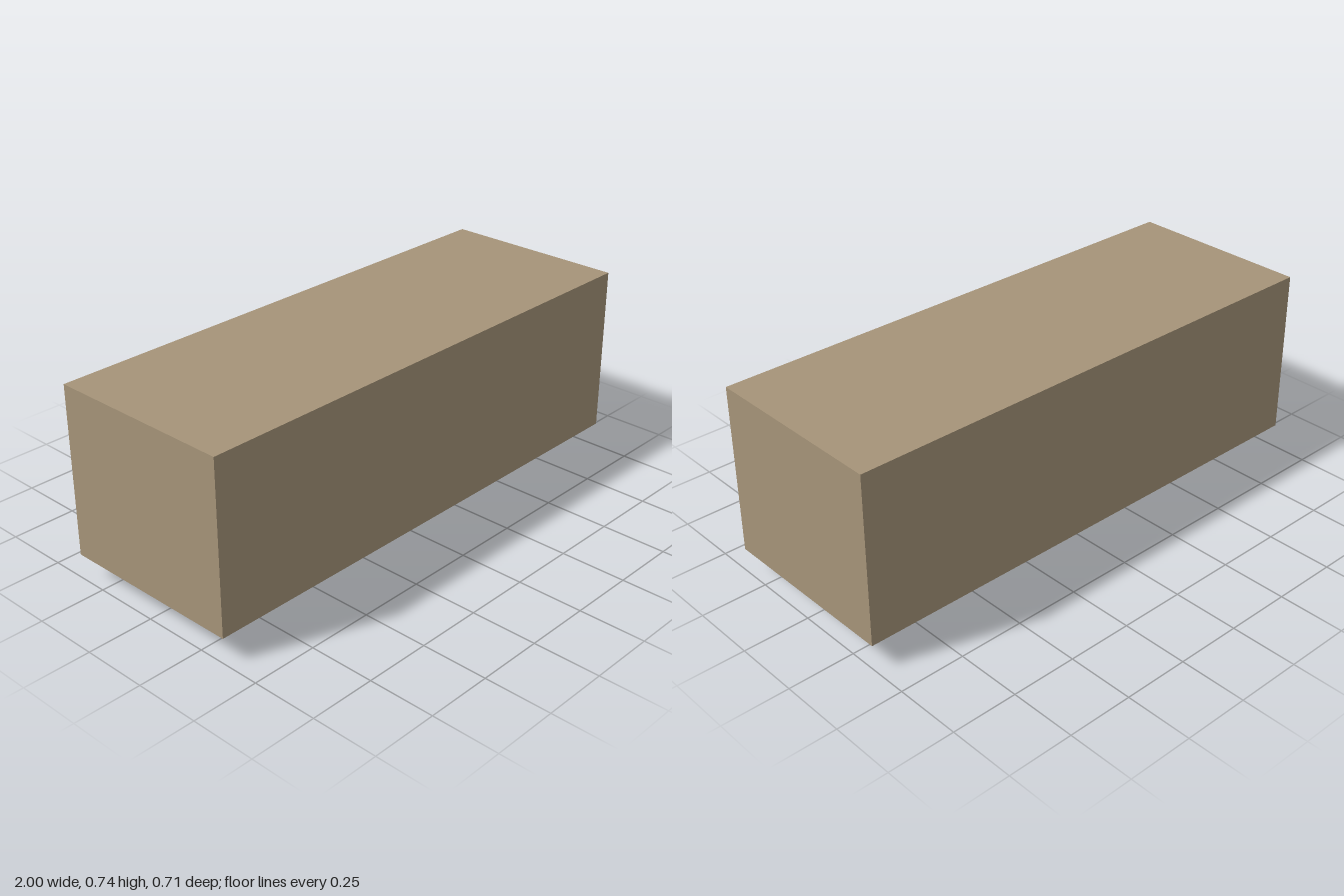
import * as THREE from 'three';

export function createModel() {
  const model = new THREE.Group();
  model.name = 'ceilingBlock';

  const material = (name, color) => {
    const m = new THREE.MeshStandardMaterial({ color });
    m.name = name;
    return m;
  };
  const tan = material('tan', 0xa69479);
  const brass = material('brass', 0xb5a16b);
  const grey = material('lightGrey', 0xb8b6b0);

  // Box given by its width, depth, bottom, top and z centre
  const addBox = (name, mat, width, depth, bottom, top, z = 0) => {
    const mesh = new THREE.Mesh(new THREE.BoxGeometry(width, top - bottom, depth), mat);
    mesh.name = name;
    mesh.position.set(0, (bottom + top) / 2, z);
    model.add(mesh);
  };

  // Main body
  addBox('body', tan, 2, 0.715, 0.095, 0.736);
  // Mounting plate under the body
  addBox('basePlate', brass, 1.437, 0.33, 0.045, 0.095);
  // Thin rail under the plate, set towards the front
  addBox('rail', grey, 0.895, 0.032, 0, 0.045, 0.072);

  return model;
}
